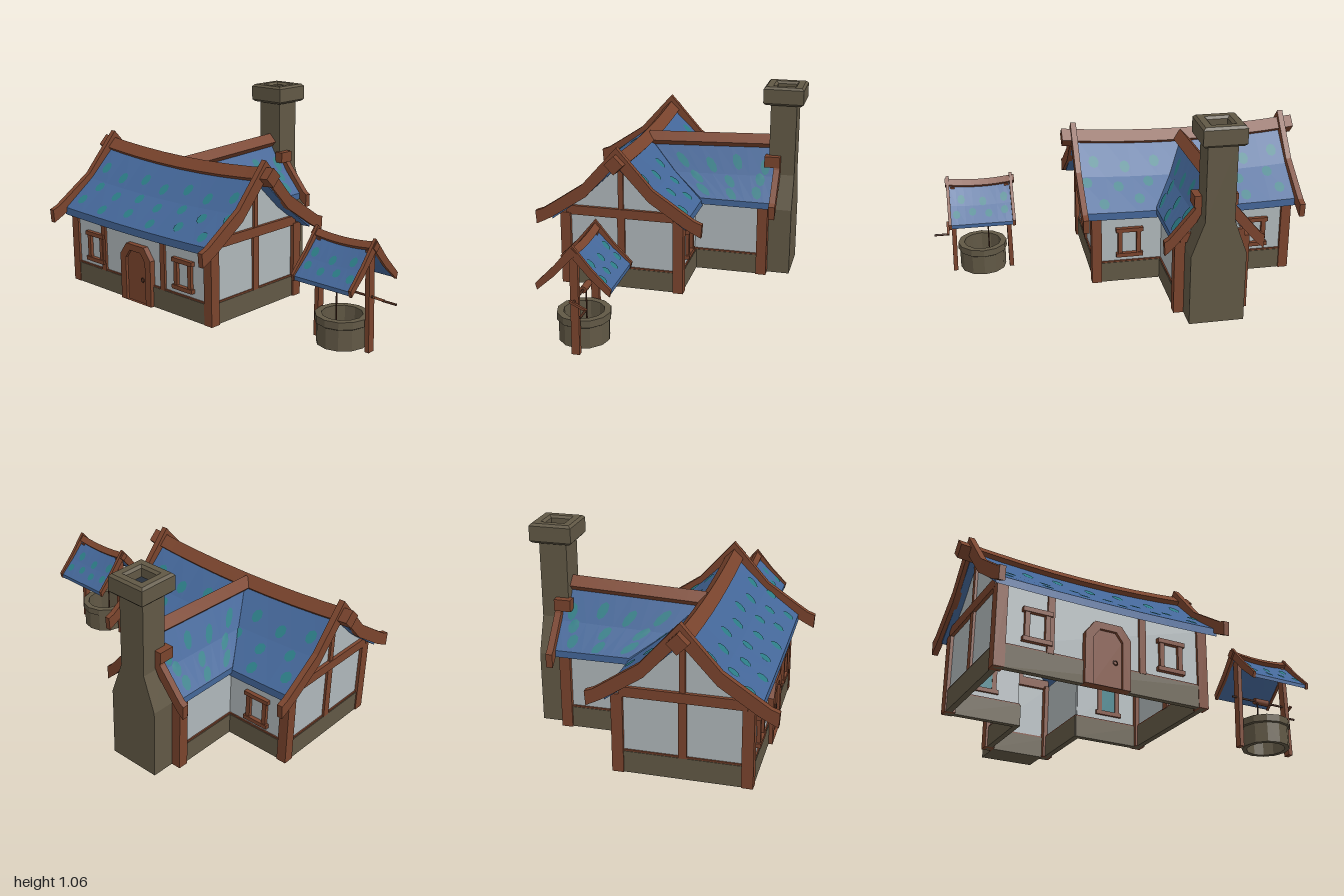
import * as THREE from 'three';
import { mergeGeometries } from 'three/addons/utils/BufferGeometryUtils.js';

const mat = (name, color) => Object.assign(new THREE.MeshStandardMaterial({ color }), { name });

export function createModel() {
  const wood = mat('wood', 0x7a442d), plaster = mat('plaster', 0xafb7ba), stone = mat('stone', 0x615845);
  const tiles = mat('blue tiles', 0x446799), moss = mat('teal tiles', 0x2c7c86), dark = mat('dark opening', 0x27303b);
  const darkWood = mat('dark wood', 0x4a2a1c);
  const root = new THREE.Group();
  root.name = 'cottageWithWell';

  const add = (parent, name, geo, material, x = 0, y = 0, z = 0) => {
    const m = new THREE.Mesh(geo, material);
    m.name = name;
    m.position.set(x, y, z);
    parent.add(m);
    return m;
  };
  const group = (parent, name, x = 0, y = 0, z = 0, ry = 0) => {
    const g = new THREE.Group();
    g.name = name;
    g.position.set(x, y, z);
    g.rotation.y = ry;
    parent.add(g);
    return g;
  };
  const box = (w, h, d) => new THREE.BoxGeometry(w, h, d);
  const poly = pts => new THREE.Shape(pts.map(p => new THREE.Vector2(p[0], p[1])));
  const mirror = half => [...half.map(p => [-p[0], p[1]]).reverse(), ...half];

  // Flat shaded skin over equal loops of points, capped at both ends
  const loft = loops => {
    const n = loops[0].length, idx = [];
    for (let i = 0; i < loops.length - 1; i++) for (let j = 0; j < n; j++) {
      const a = i * n + j, b = i * n + (j + 1) % n;
      idx.push(a, b, b + n, a, b + n, a + n);
    }
    const e = (loops.length - 1) * n;
    for (let i = 0; i < n / 2 - 1; i++) {
      const q = [i, i + 1, n - 2 - i, n - 1 - i];
      idx.push(q[0], q[2], q[1], q[0], q[3], q[2]);
      idx.push(e + q[0], e + q[1], e + q[2], e + q[0], e + q[2], e + q[3]);
    }
    let g = new THREE.BufferGeometry();
    g.setAttribute('position', new THREE.Float32BufferAttribute(loops.flat(2), 3));
    g.setIndex(idx);
    g = g.toNonIndexed();
    g.computeVertexNormals();
    return g;
  };

  // Gable roof along local x; half is the slope profile from ridge to eave
  const addRoof = (parent, { start, end, half, drop, thick, rows, radius }) => {
    const m = half.length - 1, steps = 8;
    const at = (t, v, side, lift = 0) => {
      const k = Math.min(Math.floor(v * m), m - 1), f = v * m - k;
      const [p, q] = [half[k], half[k + 1]];
      const x = start(v) + (end - start(v)) * t;
      return [x, p[1] + (q[1] - p[1]) * f + drop(t, v) + lift, side * (p[0] + (q[0] - p[0]) * f)];
    };
    const loops = [];
    for (let i = 0; i <= steps; i++) {
      const line = lift => {
        const r = [];
        for (let j = -m; j <= m; j++) r.push(at(i / steps, Math.abs(j) / m, Math.sign(j), lift));
        return r;
      };
      loops.push([...line(0), ...line(-thick).reverse()]);
    }
    add(parent, 'roofTiles', loft(loops), tiles);
    // Scattered teal tiles, laid just above the slope
    const spots = [];
    for (const side of [-1, 1]) rows.forEach(([v0, count, shift]) => {
      for (let i = 0; i < count; i++) {
        const t0 = (i + shift) / count, g = new THREE.CircleGeometry(1, 8), p = g.attributes.position;
        const len = end - start(v0);
        const slope = half[m][0] * 1.3;
        const vc = v0 + (i % 2 ? 0.03 : -0.03);
        for (let j = 0; j < p.count; j++) {
          const t = Math.min(1, Math.max(0, t0 + side * p.getX(j) * radius / len));
          const v = Math.min(0.99, Math.max(0, vc - p.getY(j) * radius * 1.25 / slope));
          p.setXYZ(j, ...at(t, v, side, 0.005));
        }
        g.computeVertexNormals();
        spots.push(g);
      }
    });
    add(parent, 'tealRoofTiles', mergeGeometries(spots), moss);
  };

  // Diamond section ridge beam along local x
  const ridgeBeam = (parent, x0, x1, r, yAt) => {
    const loops = [];
    for (let i = 0; i <= 8; i++) {
      const x = x0 + (x1 - x0) * i / 8, y = yAt(i / 8);
      loops.push([[x, y, -r], [x, y + r, 0], [x, y, r], [x, y - r, 0]]);
    }
    add(parent, 'ridgeBeam', loft(loops), wood);
  };

  // Curved gable board lying across local x
  const bargeBoard = (parent, x, top, bottom, depth) => {
    const outline = [...mirror(top), ...mirror(bottom).reverse()];
    const g = new THREE.ExtrudeGeometry(poly(outline), { depth, bevelEnabled: false });
    g.translate(0, 0, -depth / 2);
    g.rotateY(Math.PI / 2);
    add(parent, 'bargeBoard', g, wood, x);
  };
  const bargeTop = [[0, 0.82], [0.19, 0.605], [0.36, 0.49], [0.41, 0.457], [0.45, 0.442]];
  const bargeBottom = [[0, 0.725], [0.17, 0.54], [0.35, 0.42], [0.395, 0.395], [0.445, 0.37]];

  const house = group(root, 'house');

  // Walls follow the T-shaped outline: plaster, stone footing and a thin sill
  const outline = [[-0.89, 0.53], [0.155, 0.53], [0.155, -0.1], [-0.2, -0.1], [-0.2, -0.49],
    [-0.53, -0.49], [-0.53, -0.1], [-0.89, -0.1]];
  outline.forEach(([x0, z0], i) => {
    const [x1, z1] = outline[(i + 1) % outline.length];
    const len = Math.hypot(x1 - x0, z1 - z0);
    const g = group(house, 'wall', (x0 + x1) / 2, 0, (z0 + z1) / 2, Math.atan2(z0 - z1, x1 - x0));
    add(g, 'plasterWall', box(len, 0.3, 0.01), plaster, 0, 0.275, 0);
    add(g, 'stoneFooting', box(len + 0.02, 0.11, 0.03), stone, 0, 0.075, 0);
    add(g, 'sillTrim', box(len + 0.015, 0.01, 0.024), wood, 0, 0.133, 0);
  });

  // Gable ends: plaster triangle, tie beam and king post
  const gable = (parent, x, half, w, beam) => {
    const g = group(parent, 'gableEnd', x, 0, 0, Math.PI / 2);
    const geo = new THREE.ExtrudeGeometry(poly(mirror(half)), { depth: 0.01, bevelEnabled: false });
    add(g, 'gablePlaster', geo, plaster, 0, 0, -0.005);
    add(g, 'tieBeam', box(w, 0.05, 0.045), wood, 0, 0.44, 0);
    add(g, 'kingPost', box(0.028, 0.27, 0.035), wood, 0, 0.585, 0);
    if (beam) add(g, 'gableStud', box(0.04, 0.29, 0.035), wood, 0, 0.275, 0);
  };
  const main = group(house, 'mainRoof', 0, 0, 0.215);
  const mainGable = [[0, 0.71], [0.17, 0.55], [0.315, 0.44], [0.315, 0.41]];
  for (const x of [-0.89, 0.155]) gable(main, x, mainGable, 0.6, true);

  // Main roof
  const bow = t => 4 * t * (1 - t);
  addRoof(main, {
    start: () => -0.93, end: 0.225, half: [[0, 0.75], [0.18, 0.575], [0.36, 0.44]],
    drop: (t, v) => -bow(t) * (0.03 - 0.02 * v), thick: 0.04, radius: 0.028,
    rows: [[0.36, 7, 0.45], [0.62, 7, 0.75], [0.86, 6, 0.4]],
  });
  ridgeBeam(main, -1, 0.29, 0.05, t => 0.74 - bow(t) * 0.035);
  for (const x of [-0.935, 0.225]) bargeBoard(main, x, bargeTop, bargeBottom, 0.03);

  // Rear wing roof, cut along the valley where it meets the main roof
  const wing = group(house, 'wingRoof', -0.365, 0, 0, Math.PI / 2);
  addRoof(wing, {
    start: v => -0.19 + 0.33 * v, end: 0.53, half: [[0, 0.73], [0.1, 0.565], [0.205, 0.445]],
    drop: (t, v) => (t - 1) * 0.03 * (1 - v), thick: 0.035, radius: 0.026,
    rows: [[0.35, 4, 0.6], [0.62, 3, 0.55], [0.87, 3, 0.4]],
  });
  ridgeBeam(wing, -0.2, 0.53, 0.045, t => 0.705 + 0.028 * t);
  gable(wing, 0.49, [[0, 0.69], [0.09, 0.54], [0.165, 0.44], [0.165, 0.41]], 0.33, false);
  const narrow = pts => pts.map(([u, y]) => [u * 0.565, y]);
  bargeBoard(wing, 0.537, narrow(bargeTop), narrow(bargeBottom), 0.034);
  for (const s of [-1, 1]) add(wing, 'purlinEnd', box(0.085, 0.06, 0.05), wood, 0.512, 0.647, s * 0.085);

  // Corner posts, wider ones at the corners and slim studs in front
  for (const [x, z] of [[-0.885, 0.52], [0.155, 0.52], [0.155, -0.095], [-0.885, -0.095], [-0.53, -0.48], [-0.2, -0.48]])
    add(house, 'cornerPost', box(0.053, 0.405, 0.056), wood, x, 0.2225, z);
  for (const x of [-0.645, -0.175]) add(house, 'frontStud', box(0.034, 0.29, 0.035), wood, x, 0.275, 0.53);

  // Windows
  const makeWindow = (x, z, ry) => {
    const g = group(house, 'window', x, 0.247, z, ry);
    for (const y of [-0.072, 0.072]) add(g, 'windowRail', box(0.145, 0.022, 0.045), wood, 0, y, 0.005);
    for (const s of [-1, 1]) add(g, 'windowJamb', box(0.024, 0.14, 0.035), wood, s * 0.05, 0, 0.005);
    add(g, 'innerPane', box(0.08, 0.125, 0.004), moss, 0, 0, -0.008);
  };
  for (const x of [-0.712, -0.022]) {
    makeWindow(x, 0.53, 0);
    makeWindow(x, -0.1, Math.PI);
  }

  // Arched door
  const door = group(house, 'door', -0.365, 0, 0.515);
  const arch = (w, h, cut, y0) => [[-w, y0], [w, y0], [w, h - cut], [w - cut * 0.75, h], [-w + cut * 0.75, h], [-w, h - cut]];
  const frame = poly(arch(0.117, 0.335, 0.065, 0.02));
  frame.holes.push(poly(arch(0.075, 0.3, 0.045, 0.021)));
  add(door, 'doorFrame', new THREE.ExtrudeGeometry(frame, { depth: 0.05, bevelEnabled: false }), wood);
  add(door, 'doorLeaf', new THREE.ExtrudeGeometry(poly(arch(0.076, 0.301, 0.045, 0.02)), { depth: 0.035, bevelEnabled: false }), wood);
  add(door, 'doorRing', new THREE.TorusGeometry(0.011, 0.003, 5, 10), darkWood, 0.042, 0.15, 0.038);

  // Chimney
  const chimney = group(house, 'chimney', -0.365, 0, -0.56);
  const stack = [[0.14, 0.02], [0.14, 0.39], [0.074, 0.57], [0.074, 0.97]];
  add(chimney, 'chimneyStack', loft(stack.map(([w, y]) => [[-w, y, 0.07], [w, y, 0.07], [w, y, -0.07], [-w, y, -0.07]])), stone);
  const square = r => poly([[-r, -r], [r, -r], [r, r], [-r, r]]);
  const cap = square(0.095);
  cap.holes.push(square(0.062));
  const capGeo = new THREE.ExtrudeGeometry(cap, { depth: 0.076, bevelSize: 0.012, bevelThickness: 0.012, bevelSegments: 1 });
  capGeo.rotateX(-Math.PI / 2);
  add(chimney, 'chimneyCap', capGeo, stone, 0, 0.972, 0);
  add(chimney, 'flue', box(0.13, 0.008, 0.13), dark, 0, 1.0, 0);

  // Well
  const well = group(root, 'well', 0.742, 0, 0.22);
  const ring = [[0.1, 0.01], [0.125, 0.01], [0.125, 0.115], [0.133, 0.12], [0.133, 0.157], [0.1, 0.157], [0.1, 0.01]];
  let basin = new THREE.LatheGeometry(ring.map(p => new THREE.Vector2(p[0], p[1])), 12).toNonIndexed();
  basin.computeVertexNormals();
  add(well, 'wellBasin', basin, stone, 0, 0, 0.01);
  for (const s of [-1, 1]) {
    add(well, 'wellPost', box(0.024, 0.5, 0.04), wood, s * 0.15, 0.25, 0).rotation.z = s * 0.02;
    bargeBoard(well, s * 0.169, [[0, 0.558], [0.09, 0.448], [0.183, 0.352]], [[0, 0.495], [0.085, 0.4], [0.175, 0.32]], 0.016);
  }
  addRoof(well, {
    start: () => -0.17, end: 0.17, half: [[0, 0.515], [0.09, 0.422], [0.175, 0.345]],
    drop: (t, v) => -bow(t) * 0.015 * (1 - v), thick: 0.02, radius: 0.02,
    rows: [[0.4, 3, 0.4], [0.72, 4, 0.55]],
  });
  ridgeBeam(well, -0.187, 0.182, 0.026, t => 0.52 - bow(t) * 0.015);

  // Winch: axle, spool, rope and crank
  const rod = (name, r, len, m, x, y, z) => {
    const g = new THREE.CylinderGeometry(r, r, len, 8);
    g.rotateZ(Math.PI / 2);
    add(well, name, g, m, x, y, z);
  };
  rod('axle', 0.006, 0.375, darkWood, 0, 0.275, 0);
  rod('spool', 0.018, 0.085, wood, -0.005, 0.275, 0);
  rod('crankHandle', 0.006, 0.078, darkWood, 0.219, 0.243, -0.06);
  add(well, 'rope', new THREE.CylinderGeometry(0.004, 0.004, 0.2, 6), darkWood, -0.036, 0.175, 0.01);
  add(well, 'crankArm', box(0.012, 0.012, 0.09), wood, 0.183, 0.262, -0.025).rotation.x = -0.44;

  return root;
}
